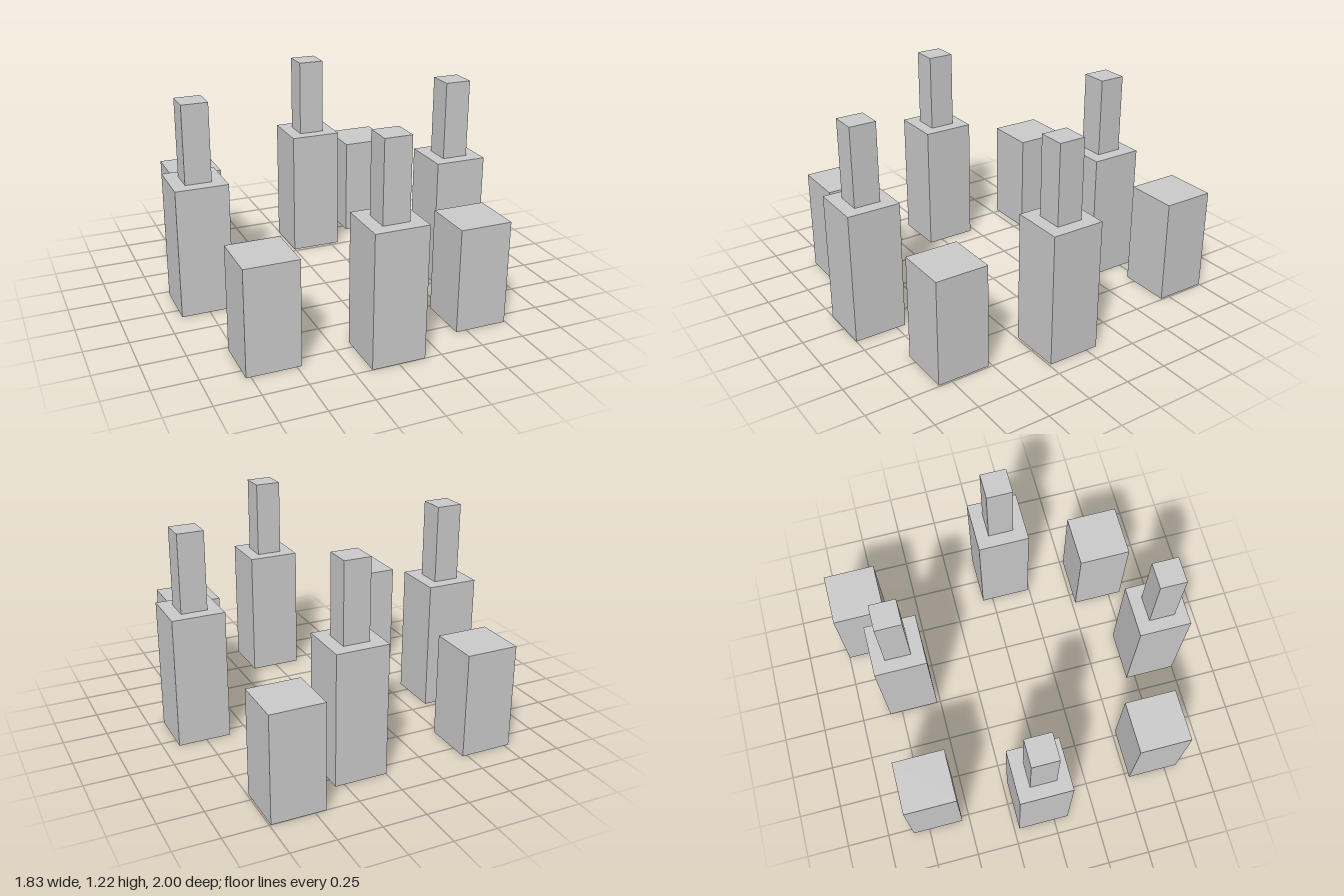
import * as THREE from 'three';

const material = new THREE.MeshStandardMaterial({ color: 0xcccccc, flatShading: true });

// Square block standing on height y
function block(name, width, height, y) {
  const mesh = new THREE.Mesh(new THREE.BoxGeometry(width, height, width), material);
  mesh.name = name;
  mesh.position.y = y + height / 2;
  return mesh;
}

export function createModel() {
  const model = new THREE.Group();
  model.name = 'blockRing';
  const width = 0.304;

  // Low plain blocks at the corners
  const corners = [[-0.625, -0.696], [0.59, -0.848], [-0.625, 0.674], [0.59, 0.674]];
  for (const [x, z] of corners) {
    const low = block('cornerBlock', width, 0.61, 0);
    low.position.x = x;
    low.position.z = z;
    model.add(low);
  }

  // Taller bases, each carrying a slim tower
  const sides = [[-0.761, -0.067], [0.76, 0.087], [0.15, -0.673], [0, 0.848]];
  for (const [x, z] of sides) {
    const stack = new THREE.Group();
    stack.name = 'towerStack';
    stack.add(block('towerBase', width, 0.762, 0), block('tower', width / 2, 0.457, 0.762));
    stack.position.set(x, 0, z);
    model.add(stack);
  }
  return model;
}
